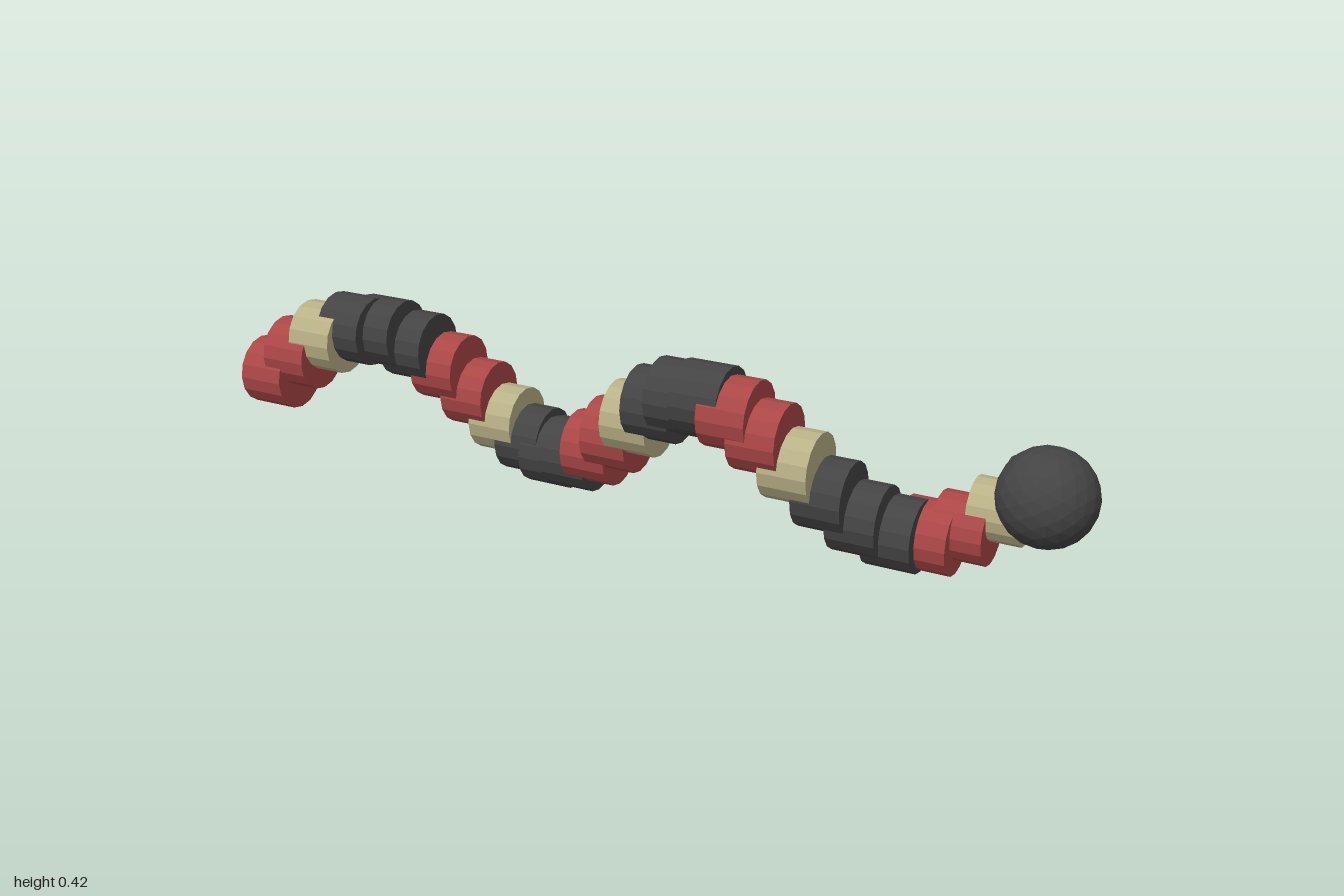
import * as THREE from 'three';

const COUNT = 28, STEP = 0.0664, LENGTH = 0.11, RADIUS = 0.079;

export function createModel() {
  const group = new THREE.Group();
  group.name = 'snake';
  const paint = (color) => new THREE.MeshStandardMaterial({ color, flatShading: true });
  const red = paint(0xaa4646), tan = paint(0xb8b086), dark = paint(0x444444);
  const bands = [red, red, tan, dark, dark, dark];
  const neck = [0.077, 0.072, 0.066, 0.062]; // last rings narrow toward the head

  // Banded body: overlapping rings along x, swaying up-down and side to side
  for (let i = 0; i < COUNT; i++) {
    const t = i / (COUNT - 1);
    const r = neck[i - (COUNT - neck.length)] ?? RADIUS;
    const ring = new THREE.Mesh(new THREE.CylinderGeometry(r, r, LENGTH, 16), bands[i % bands.length]);
    ring.name = `bodySegment${i + 1}`;
    ring.rotation.z = Math.PI / 2;
    ring.position.set(
      -1 + LENGTH / 2 + i * STEP,
      0.208 + 0.129 * Math.sin(4 * Math.PI * t),
      0.08 * Math.cos(3 * Math.PI * t)
    );
    group.add(ring);
  }

  // Faceted ball head
  const head = new THREE.Mesh(new THREE.IcosahedronGeometry(0.104, 3), dark);
  head.name = 'head';
  head.position.set(0.896, 0.232, 0);
  group.add(head);

  return group;
}
